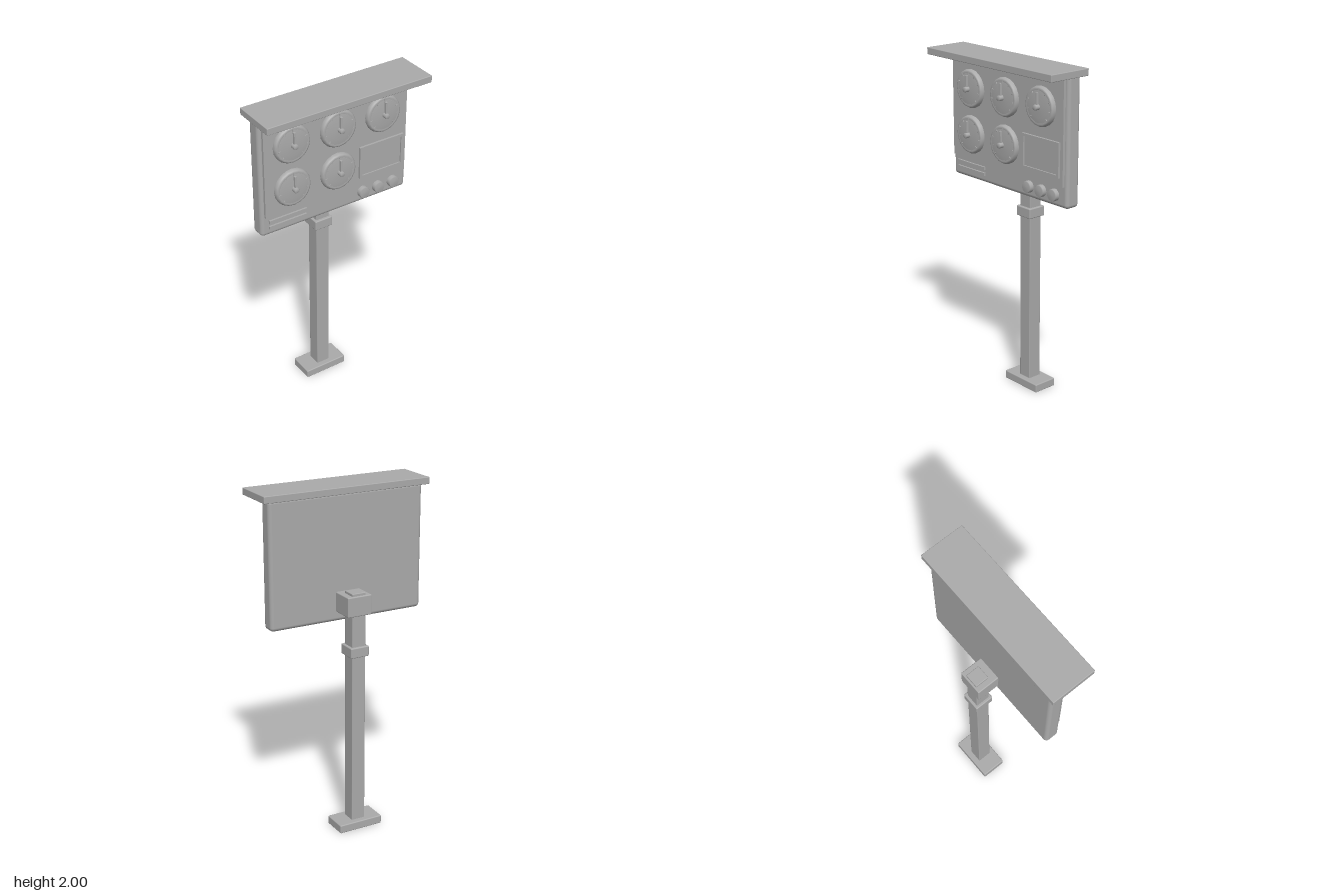
import * as THREE from 'three';
import { RoundedBoxGeometry } from 'three/addons/geometries/RoundedBoxGeometry.js';

export function createModel() {
  const model = new THREE.Group();
  model.name = 'instrumentPanelOnPost';
  const grey = new THREE.MeshStandardMaterial({ color: 0xaaaaaa });
  grey.name = 'grey';

  const add = (name, geometry, parent = model) => {
    const mesh = new THREE.Mesh(geometry, grey);
    mesh.name = name;
    parent.add(mesh);
    return mesh;
  };
  // Box given by its limits on each axis; a radius rounds its edges
  const box = (name, [x0, x1], [y0, y1], [z0, z1], radius = 0, parent = model) => {
    const size = [x1 - x0, y1 - y0, z1 - z0];
    const geometry = radius
      ? new RoundedBoxGeometry(...size, 3, radius)
      : new THREE.BoxGeometry(...size);
    const mesh = add(name, geometry, parent);
    mesh.position.set((x0 + x1) / 2, (y0 + y1) / 2, (z0 + z1) / 2);
    return mesh;
  };
  // Round part facing +z, from a profile of [radius, z] points
  const turned = (name, profile, segments, parent) => {
    const points = profile.map(([r, z]) => new THREE.Vector2(r, z));
    return add(name, new THREE.LatheGeometry(points, segments).rotateX(Math.PI / 2), parent);
  };

  // Stand
  box('basePlate', [-0.137, 0.137], [0, 0.05], [-0.204, -0.053], 0.006);
  box('post', [-0.042, 0.042], [0.002, 1.43], [-0.17, -0.086], 0.004);
  box('postCollar', [-0.057, 0.057], [1.06, 1.12], [-0.185, -0.07], 0.006);
  box('mountBracket', [-0.075, 0.075], [1.3, 1.415], [-0.181, -0.04], 0.006);

  // Cabinet, front plate and rain hood
  box('cabinet', [-0.477, 0.477], [1.243, 1.97], [-0.045, 0.045], 0.022);
  box('dialPlate', [-0.456, 0.456], [1.367, 1.955], [0.04, 0.06]);
  box('hood', [-0.511, 0.511], [1.96, 2], [-0.065, 0.2], 0.004);

  // Dials with pointer and hub
  const dialSpots = [[-0.29, 1.78], [0, 1.78], [0.29, 1.78], [-0.29, 1.515], [0, 1.515]];
  for (const [x, y] of dialSpots) {
    const dial = new THREE.Group();
    dial.name = 'dial';
    dial.position.set(x, y, 0.055);
    model.add(dial);
    turned('bezel', [[0.11, 0], [0.111, 0.015], [0.105, 0.027], [0.098, 0.03], [0.09, 0.029]], 20, dial);
    turned('dialFace', [[0.096, 0.026], [0.06, 0.031], [0, 0.033]], 20, dial);
    // Small marks around the scale
    for (let i = 0; i < 9; i++) {
      const angle = Math.PI * (-0.25 + i * 0.1875);
      const mark = add('scaleMark', new THREE.BoxGeometry(0.014, 0.004, 0.004), dial);
      mark.position.set(Math.cos(angle) * 0.087, Math.sin(angle) * 0.087, 0.029);
      mark.rotation.z = angle;
    }
    box('pointer', [-0.006, 0.006], [0, 0.08], [0.036, 0.05], 0, dial);
    turned('hub', [[0.016, 0.025], [0.016, 0.055], [0.013, 0.061], [0, 0.061]], 12, dial);
  }

  // Display: raised frame around a flat screen
  const frame = new THREE.Shape()
    .moveTo(-0.146, -0.098).lineTo(0.146, -0.098).lineTo(0.146, 0.098).lineTo(-0.146, 0.098).closePath();
  frame.holes.push(new THREE.Path()
    .moveTo(-0.13, -0.082).lineTo(-0.13, 0.082).lineTo(0.13, 0.082).lineTo(0.13, -0.082).closePath());
  add('displayFrame', new THREE.ExtrudeGeometry(frame, { depth: 0.02, bevelEnabled: false }))
    .position.set(0.289, 1.513, 0.053);
  box('displayScreen', [0.159, 0.419], [1.431, 1.595], [0.055, 0.065]);

  // Knobs
  for (const x of [0.18, 0.281, 0.382]) {
    turned('knob', [[0.034, 0], [0.034, 0.026], [0.031, 0.031], [0, 0.032]], 20, model)
      .position.set(x, 1.31, 0.042);
  }

  // Vent bars
  for (const y of [1.33, 1.295]) {
    box('ventBar', [-0.43, -0.193], [y - 0.009, y + 0.009], [0.04, 0.056]);
  }
  return model;
}
